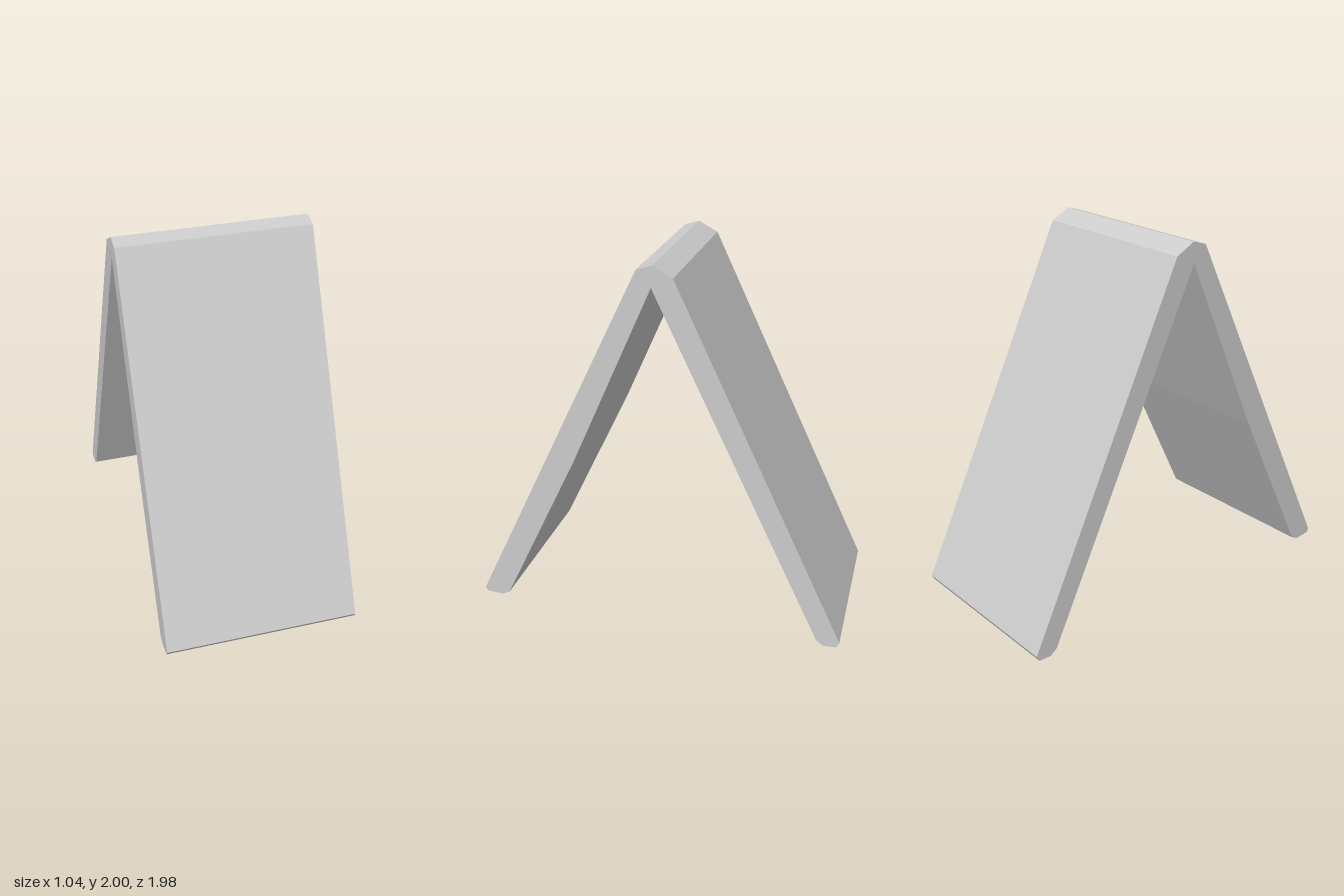
import * as THREE from 'three';

const WIDTH = 1.04;

// Side profile as [z, y], running around the folded board
const PROFILE = [
  // front leg: outer face and foot
  [0.093, 1.976], [0.993, 0.097], [0.98, 0.075], [0.894, 0.065], [0.852, 0.085],
  // inside of the fold
  [0.448, 0.918], [0.018, 1.888],
  // back leg: foot and outer face
  [-0.868, 0.027], [-0.905, 0], [-0.974, 0], [-0.99, 0.028],
  // ridge
  [-0.093, 1.942], [0.013, 2],
];

export function createModel() {
  const group = new THREE.Group();
  group.name = 'tentSign';

  const shape = new THREE.Shape(PROFILE.map(([z, y]) => new THREE.Vector2(-z, y)));
  const geometry = new THREE.ExtrudeGeometry(shape, { depth: WIDTH, bevelEnabled: false });
  geometry.translate(0, 0, -WIDTH / 2);
  geometry.rotateY(Math.PI / 2); // extrude along x, profile in the z-y plane

  const board = new THREE.Mesh(
    geometry,
    new THREE.MeshStandardMaterial({ color: 0xcccccc, flatShading: true })
  );
  board.name = 'foldedBoard';
  group.add(board);
  return group;
}
